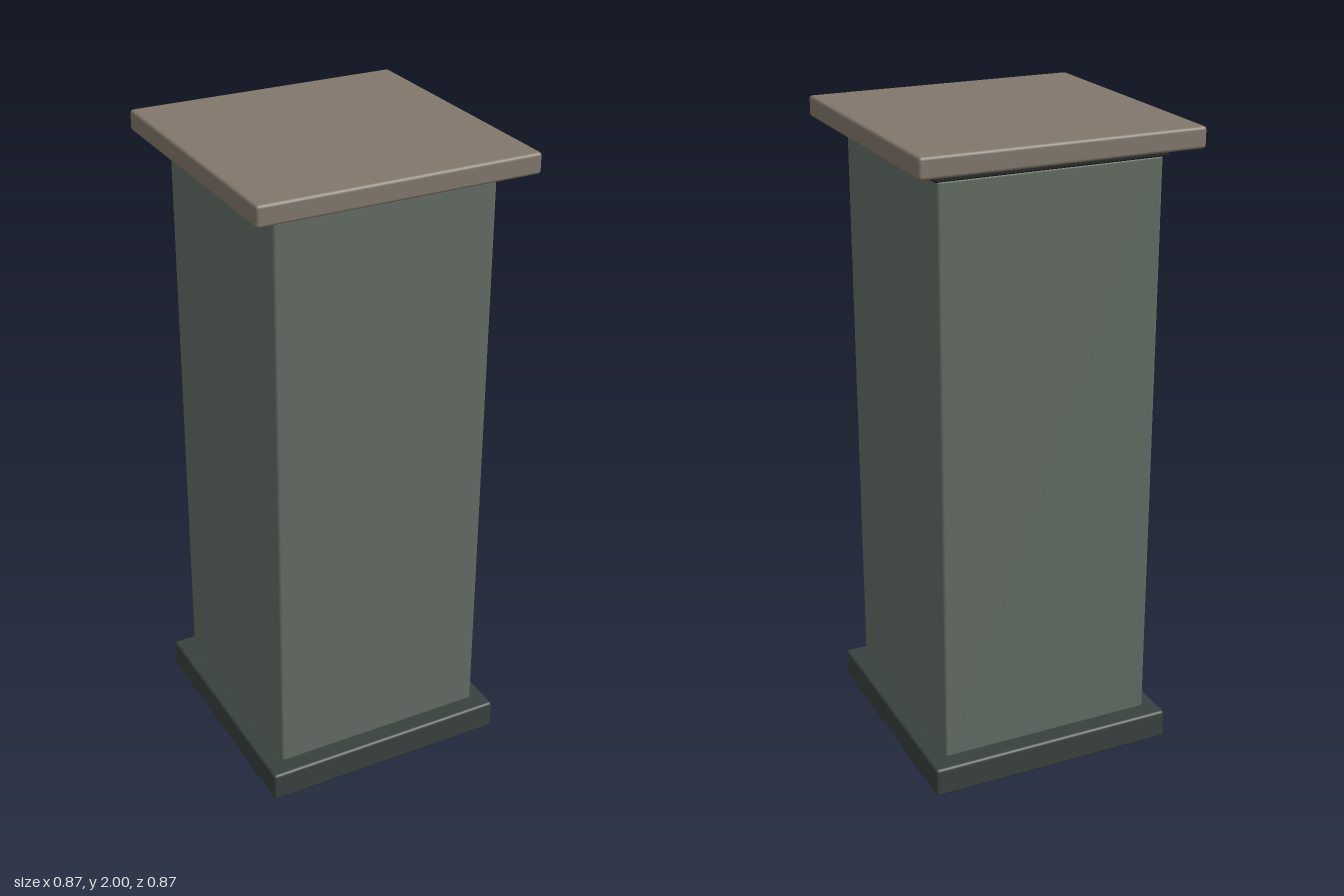
import * as THREE from 'three';
import { RoundedBoxGeometry } from 'three/addons/geometries/RoundedBoxGeometry.js';

// Square slab with softened edges, spanning bottom..top in height
function slab(name, width, bottom, top, radius, color) {
  const height = top - bottom;
  const mesh = new THREE.Mesh(
    new RoundedBoxGeometry(width, height, width, 3, radius),
    new THREE.MeshStandardMaterial({ color })
  );
  mesh.name = name;
  mesh.position.y = bottom + height / 2;
  return mesh;
}

export function createModel() {
  const group = new THREE.Group();
  group.name = 'pedestal';
  group.add(
    slab('base', 0.797, 0, 0.095, 0.01, 0x38413e),
    slab('column', 0.693, 0.095, 1.91, 0.01, 0x616b62),
    // Dark recessed band under the cap
    slab('neckBand', 0.717, 1.907, 1.937, 0.006, 0x232a28),
    slab('cap', 0.865, 1.937, 2, 0.01, 0x81776b)
  );
  return group;
}
